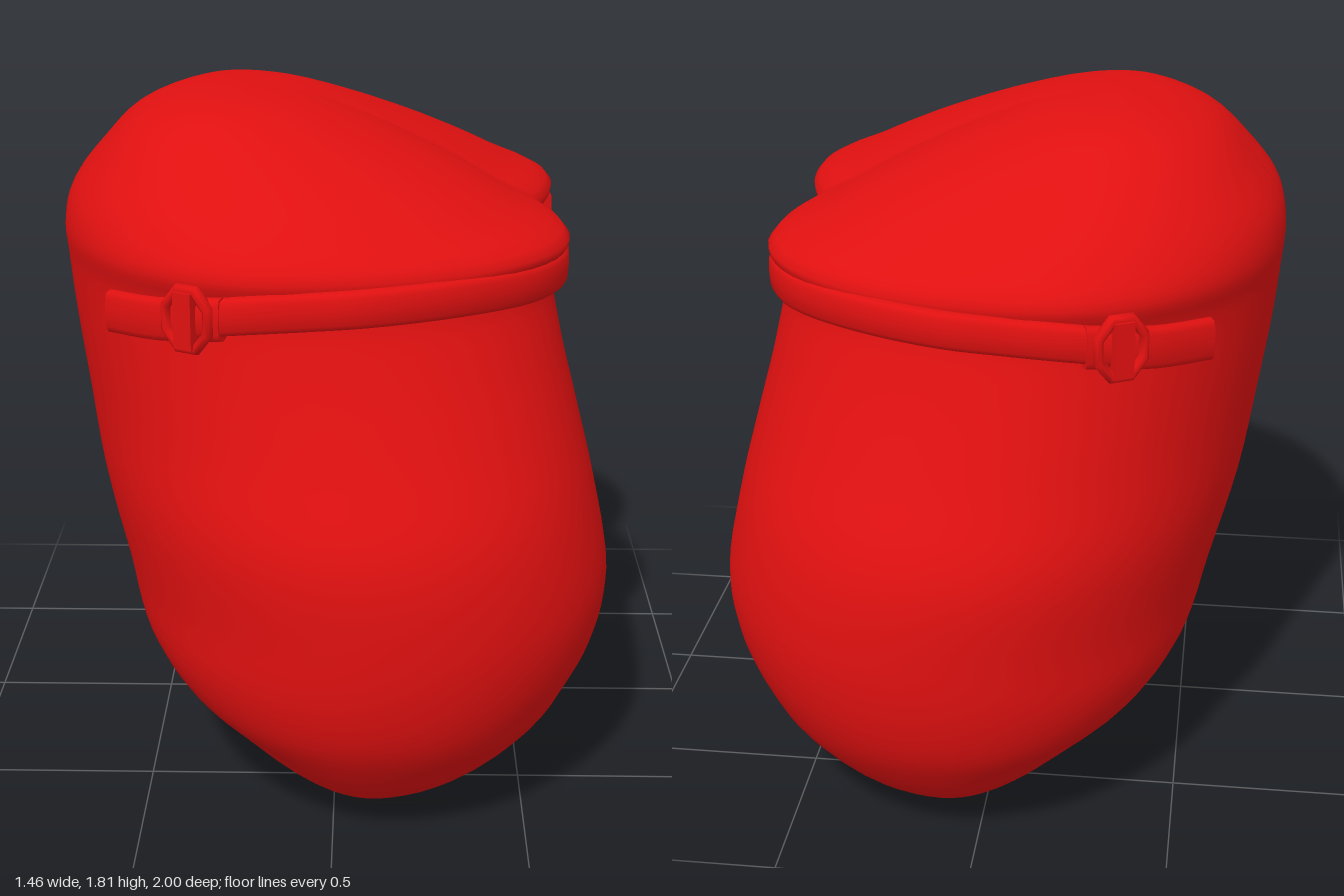
import * as THREE from 'three';
import { mergeVertices, toCreasedNormals } from 'three/addons/utils/BufferGeometryUtils.js';

const material = new THREE.MeshStandardMaterial({ color: 0xe01010 });

// Level rings of one half: y, xMin, xMax, xMid, zOuter, zFront, zBack, zInner.
// A negative zInner means the half is cut at z = 0, where it meets its twin.
const LEVELS = [
  [0, 0.1, 0.1, 0.1, 0.47, 0.47, 0.47, 0.47],
  [0.03, -0.03, 0.26, 0.1, 0.66, 0.47, 0.47, 0.32],
  [0.12, -0.17, 0.44, 0.1, 0.81, 0.45, 0.45, 0.16],
  [0.24, -0.32, 0.58, 0.1, 0.91, 0.42, 0.42, 0.04],
  [0.33, -0.43, 0.64, 0.1, 0.96, 0.4, 0.38, 0],
  [0.45, -0.52, 0.7, 0.1, 0.99, 0.38, 0.3, -0.1],
  [0.6, -0.57, 0.725, 0.1, 1, 0.37, 0.2, -0.22],
  [0.83, -0.64, 0.685, 0.06, 0.985, 0.36, 0.1, -0.3],
  [1.05, -0.68, 0.63, 0, 0.89, 0.34, 0.05, -0.35],
  [1.25, -0.71, 0.58, -0.07, 0.81, 0.32, 0.04, -0.4],
  [1.4, -0.725, 0.56, -0.12, 0.77, 0.3, 0.04, -0.4],
  [1.48, -0.73, 0.6, -0.12, 0.795, 0.3, 0.04, -0.4],
  [1.56, -0.71, 0.46, -0.15, 0.73, 0.26, 0.04, -0.38],
  [1.65, -0.64, 0.28, -0.2, 0.61, 0.2, 0.04, -0.35],
  [1.74, -0.55, 0.06, -0.25, 0.44, 0.12, 0.03, -0.3],
  [1.79, -0.43, -0.1, -0.28, 0.29, 0.06, 0.02, -0.2],
  [1.81, -0.28, -0.28, -0.28, 0, 0, 0, 0],
];

// Surface through rows of points; every row is a closed loop
function loft(rows) {
  const n = rows[0].length;
  const index = [];
  for (let i = 0; i < rows.length - 1; i++) {
    for (let j = 0; j < n; j++) {
      const k = (j + 1) % n;
      const a = i * n + j, b = (i + 1) * n + j, c = i * n + k, d = (i + 1) * n + k;
      index.push(a, b, c, b, d, c);
    }
  }
  const geometry = new THREE.BufferGeometry().setFromPoints(rows.flat());
  geometry.setIndex(index);
  return geometry;
}

// One level: inner front, outer front, outer back and inner back quarter ellipses
function levelRing([y, xMin, xMax, xMid, zOuter, zFront, zBack, zInner], n = 14) {
  const ring = [];
  const quarter = (xEnd, zMid, zEnd, t) => ring.push(new THREE.Vector3(
    xMid + (xEnd - xMid) * Math.cos(t), y, Math.max(0, zMid + (zEnd - zMid) * Math.sin(t))));
  const reach = (z) => (zInner < 0 ? Math.asin(z / (z - zInner)) : Math.PI / 2);
  for (let i = n; i > 0; i--) quarter(xMax, zFront, zInner, reach(zFront) * i / n);
  for (let i = 0; i < n; i++) quarter(xMax, zFront, zOuter, Math.PI / 2 * i / n);
  for (let i = n; i > 0; i--) quarter(xMin, zBack, zOuter, Math.PI / 2 * i / n);
  for (let i = 0; i <= n; i++) quarter(xMin, zBack, zInner, reach(zBack) * i / n);
  return ring;
}

// Rounded pouch half, smoothed by a spline up every rib
function pouchGeometry() {
  const rings = LEVELS.map((level) => levelRing(level));
  const ribs = rings[0].map((_, j) => new THREE.CatmullRomCurve3(rings.map((r) => r[j])));
  const steps = (LEVELS.length - 1) * 4;
  const rows = [];
  for (let i = 0; i <= steps; i++) {
    rows.push(ribs.map((rib) => {
      const p = rib.getPoint(i / steps);
      p.z = Math.max(0, p.z);
      return p;
    }));
  }
  let geometry = mergeVertices(loft(rows), 1e-4);
  // Drop the hidden wall between the halves
  const pos = geometry.attributes.position;
  const source = geometry.index.array;
  const kept = [];
  for (let i = 0; i < source.length; i += 3) {
    const tri = [source[i], source[i + 1], source[i + 2]];
    if (tri.some((v) => pos.getZ(v) > 1e-4)) kept.push(...tri);
  }
  geometry.setIndex(kept);
  geometry.computeVertexNormals();
  // Match the shading of both halves along the seam
  const normal = geometry.attributes.normal;
  const v = new THREE.Vector3();
  for (let i = 0; i < pos.count; i++) {
    if (pos.getZ(i) > 1e-4) continue;
    v.fromBufferAttribute(normal, i).setZ(0);
    if (v.lengthSq() < 1e-8) v.set(0, 1, 0);
    v.normalize();
    normal.setXYZ(i, v.x, v.y, v.z);
  }
  return geometry;
}

// Padded band following a path around the pouch
function bandGeometry(points, height, thickness, steps) {
  const curve = new THREE.CatmullRomCurve3(points.map((p) => new THREE.Vector3(...p)));
  const up = new THREE.Vector3(0, 1, 0);
  const round = (value) => Math.sign(value) * Math.abs(value) ** 0.6;
  const ringAt = (t, size) => {
    const p = curve.getPoint(t);
    const out = curve.getTangent(t).cross(up).normalize();
    return Array.from({ length: 12 }, (_, j) => {
      const a = j / 12 * Math.PI * 2;
      return p.clone().addScaledVector(out, round(Math.cos(a)) * thickness / 2 * size)
        .addScaledVector(up, round(Math.sin(a)) * height / 2 * size);
    });
  };
  const rows = [ringAt(0, 0)];
  for (let i = 0; i <= steps; i++) rows.push(ringAt(i / steps, 1));
  rows.push(ringAt(1, 0));
  return toCreasedNormals(loft(rows), 0.9);
}

// Copy of a geometry on the other side of z = 0
function mirrored(geometry) {
  const copy = geometry.index ? geometry.clone() : mergeVertices(geometry);
  copy.scale(1, 1, -1);
  copy.setIndex(Array.from(copy.index.array).reverse());
  return copy;
}

export function createModel() {
  const model = new THREE.Group();
  model.name = 'strappedDoublePouch';

  const addPair = (name, geometry) => {
    [['Left', geometry], ['Right', mirrored(geometry)]].forEach(([side, g]) => {
      const mesh = new THREE.Mesh(g, material);
      mesh.name = name + side;
      model.add(mesh);
    });
  };

  addPair('pouch', pouchGeometry());

  // Main strap and its tail behind the buckle
  addPair('strap', bandGeometry([
    [-0.34, 1.385, 0.75], [-0.22, 1.405, 0.785], [-0.08, 1.415, 0.79], [0.08, 1.425, 0.785],
    [0.3, 1.425, 0.695], [0.48, 1.415, 0.545], [0.56, 1.41, 0.4], [0.58, 1.405, 0.27],
  ], 0.095, 0.05, 28));
  addPair('strapTail', bandGeometry([
    [-0.55, 1.355, 0.59], [-0.42, 1.37, 0.7], [-0.26, 1.395, 0.785],
  ], 0.11, 0.04, 8));

  // Buckle frame and tongue, turned to face outward
  const placeBuckle = (g) => g.rotateY(-0.5).translate(-0.345, 1.39, 0.765);
  addPair('buckleFrame', placeBuckle(
    new THREE.TorusGeometry(0.075, 0.015, 8, 8).rotateZ(Math.PI / 8).scale(0.85, 1.03, 1.2)));
  addPair('buckleTongue', placeBuckle(new THREE.BoxGeometry(0.05, 0.14, 0.05)));

  return model;
}
